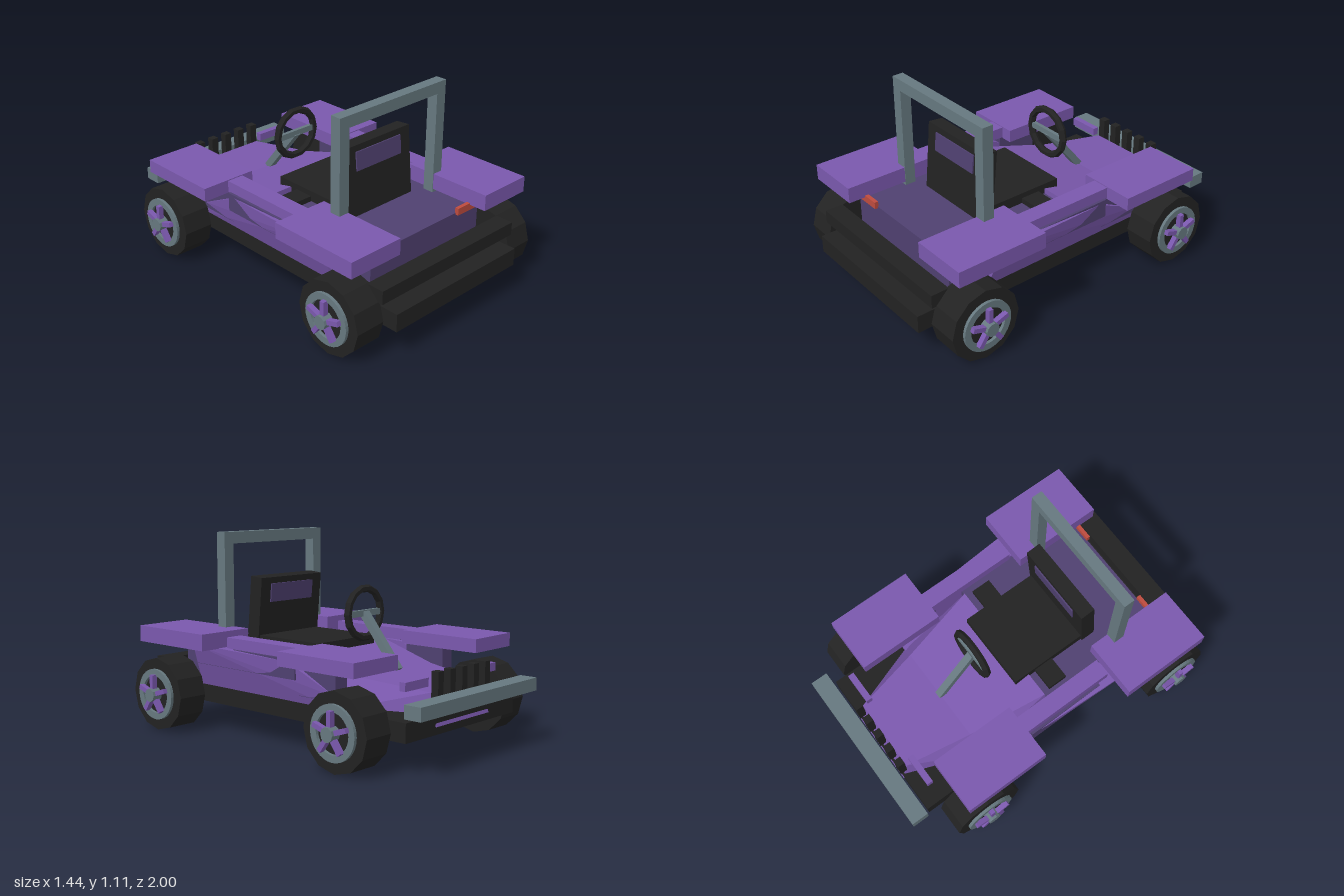
import * as THREE from 'three';
import { ConvexGeometry } from 'three/addons/geometries/ConvexGeometry.js';

const mat = (name, color) => {
  const m = new THREE.MeshStandardMaterial({ color, flatShading: true });
  m.name = name;
  return m;
};

export function createModel() {
  const purple = mat('purple paint', 0x7a58ad);
  const darkPurple = mat('dark purple', 0x4f4070);
  const black = mat('black', 0x222222);
  const grey = mat('grey metal', 0x66787f);
  const red = mat('red', 0xbd4b3e);

  const car = new THREE.Group();
  car.name = 'buggy';
  const add = (name, geo, m, parent = car) => {
    const mesh = new THREE.Mesh(geo, m);
    mesh.name = name;
    parent.add(mesh);
    return mesh;
  };
  // Box given by its lower and upper limits on each axis
  const box = (name, m, x0, x1, y0, y1, z0, z1, parent = car) => {
    const mesh = add(name, new THREE.BoxGeometry(x1 - x0, y1 - y0, z1 - z0), m, parent);
    mesh.position.set((x0 + x1) / 2, (y0 + y1) / 2, (z0 + z1) / 2);
    return mesh;
  };
  // Same box on both sides of the car
  const pair = (name, m, x0, x1, ...rest) => {
    box(name + 'Left', m, x0, x1, ...rest);
    box(name + 'Right', m, -x1, -x0, ...rest);
  };
  const hull = (name, m, pts) =>
    add(name, new ConvexGeometry(pts.map((p) => new THREE.Vector3(...p))), m);

  // Chassis, bumpers and rear body
  box('chassis', black, -0.46, 0.46, 0.16, 0.26, -0.88, 1);
  box('rearBumper', black, -0.5, 0.5, 0.305, 0.38, 0.835, 0.94);
  box('frontBumper', grey, -0.5, 0.5, 0.29, 0.36, -1, -0.9);
  box('sill', purple, -0.46, 0.46, 0.26, 0.285, -0.45, 0.6);
  box('rearBody', darkPurple, -0.41, 0.41, 0.28, 0.47, -0.01, 0.77);

  // Hood: a low nose and a rising rear half, narrower at the top
  const station = (z, y, top, bottom, zBottom = z, yBottom = 0.26) => [
    [top, y, z], [-top, y, z], [bottom, yBottom, zBottom], [-bottom, yBottom, zBottom],
  ];
  const middle = station(-0.46, 0.4, 0.29, 0.38);
  hull('nose', purple, [...station(-0.84, 0.365, 0.215, 0.225, -0.885, 0.2), ...middle]);
  hull('hood', purple, [...middle, ...station(-0.01, 0.5, 0.375, 0.41)]);

  // Side pods flaring outwards, with inner supports and top rails
  for (const s of [1, -1]) {
    const side = s > 0 ? 'Left' : 'Right';
    const pod = [[0.5, 0.55, 0.555], [0.475, -0.15, 0.515], [0.33, -0.45, 0.485], [0.26, -0.45, 0.47], [0.26, 0.57, 0.47]];
    hull('sidePod' + side, purple, pod.flatMap(([y, z, x]) => [[s * x, y, z], [s * 0.41, y, z]]));
  }
  pair('podCore', darkPurple, 0.44, 0.515, 0.385, 0.49, -0.2, 0.585);
  pair('fenderSupport', darkPurple, 0.4, 0.485, 0.3, 0.485, -0.455, -0.2);
  pair('sideRail', purple, 0.4, 0.5, 0.485, 0.55, -0.23, 0.33);

  // Fenders and lights
  pair('rearFender', purple, 0.325, 0.658, 0.49, 0.58, 0.35, 0.885);
  pair('frontFender', purple, 0.33, 0.658, 0.48, 0.555, -0.725, -0.22);
  pair('tailLight', red, 0.23, 0.38, 0.46, 0.5, 0.765, 0.787);
  pair('headlightBar', purple, 0.2, 0.385, 0.39, 0.435, -0.815, -0.78);

  // Grille bars
  for (let i = -2; i <= 2; i++) {
    box('grilleBar', black, i * 0.1 - 0.022, i * 0.1 + 0.022, 0.31, 0.475, -0.89, -0.848);
  }

  // Roll bar
  pair('rollBarPost', grey, 0.322, 0.387, 0.47, 1.05, 0.463, 0.527);
  box('rollBarTop', grey, -0.387, 0.387, 1.045, 1.11, 0.463, 0.527);

  // Seat
  box('seatCushion', black, -0.23, 0.23, 0.46, 0.53, -0.1, 0.38);
  box('seatMount', black, -0.36, 0.36, 0.46, 0.5, 0.035, 0.15);
  const back = new THREE.Group();
  back.name = 'seatBack';
  back.position.set(0, 0.47, 0.402);
  back.rotation.x = -0.09;
  car.add(back);
  box('backrest', black, -0.24, 0.24, 0, 0.39, -0.043, 0.043, back);
  box('headrestPanel', darkPurple, -0.165, 0.165, 0.25, 0.355, -0.051, 0.051, back);

  // Steering wheel and column
  const steering = add('steeringWheel', new THREE.TorusGeometry(0.135, 0.021, 6, 14), black);
  steering.position.set(0, 0.685, -0.224);
  box('steeringSpoke', grey, -0.12, 0.12, 0.668, 0.702, -0.235, -0.213);
  const from = new THREE.Vector3(0, 0.4, -0.46), to = new THREE.Vector3(0, 0.685, -0.225);
  const column = add('steeringColumn', new THREE.BoxGeometry(0.042, 0.04, from.distanceTo(to)), grey);
  column.position.copy(from).add(to).multiplyScalar(0.5);
  column.lookAt(to);

  // Wheels, with axles along x
  const disc = (r, x0, x1, n) =>
    new THREE.CylinderGeometry(r, r, x1 - x0, n).rotateZ(Math.PI / 2).translate((x0 + x1) / 2, 0, 0);
  const ringShape = new THREE.Shape().absarc(0, 0, 0.143, 0, Math.PI * 2);
  ringShape.holes.push(new THREE.Path().absarc(0, 0, 0.105, 0, Math.PI * 2, true));
  const rimGeo = new THREE.ExtrudeGeometry(ringShape, { depth: 0.02, bevelEnabled: false, curveSegments: 16 })
    .rotateY(Math.PI / 2).translate(0.662, 0, 0);
  const tyreGeo = disc(0.205, 0.49, 0.665, 12);
  const hubGeo = disc(0.038, 0.66, 0.722, 10);

  for (const z of [0.735, -0.61]) {
    const axle = add(z > 0 ? 'rearAxle' : 'frontAxle', disc(0.03, -0.6, 0.6, 8), grey);
    axle.position.set(0, 0.207, z);
    for (const s of [1, -1]) {
      const wheel = new THREE.Group();
      wheel.name = (z > 0 ? 'rear' : 'front') + 'Wheel' + (s > 0 ? 'Left' : 'Right');
      wheel.position.set(0, 0.206, z);
      wheel.rotation.y = s > 0 ? 0 : Math.PI;
      car.add(wheel);
      add('tyre', tyreGeo, black, wheel);
      add('rim', rimGeo, grey, wheel);
      add('hub', hubGeo, grey, wheel);
      for (let i = 0; i < 5; i++) {
        const spoke = add('spoke', new THREE.BoxGeometry(0.03, 0.085, 0.026).translate(0.692, 0.07, 0), purple, wheel);
        spoke.rotation.x = (i * Math.PI * 2) / 5;
      }
    }
  }
  return car;
}
